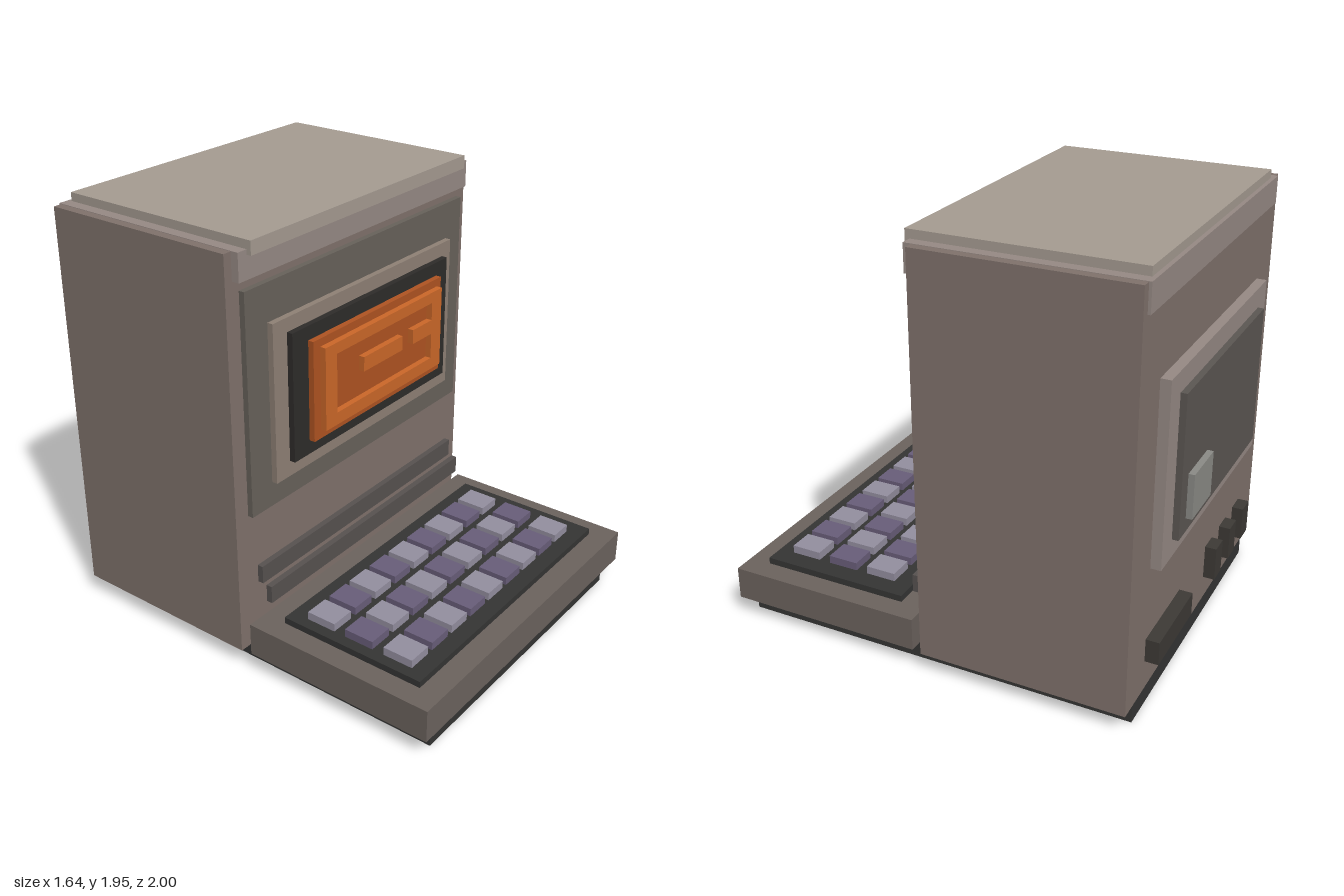
import * as THREE from 'three';

const COLORS = {
  body: 0x80726c, cap: 0x978a85, lid: 0xa69c92, base: 0x353534, tray: 0x6c635e,
  panel: 0x68625b, bezel: 0x8f8176, black: 0x2e2c2a, rust: 0xb05422, orange: 0xcc6829,
  slot: 0x575250, hatch: 0x5c5753, label: 0x8b8b87, port: 0x3d3a36,
  keyLight: 0x948fa0, keyDark: 0x695e7a,
};

const materials = {};
function material(color) {
  return (materials[color] ??= new THREE.MeshStandardMaterial({ color: COLORS[color] }));
}

// Box given by its [min, max] range on each axis
function addBox(parent, name, color, [x0, x1], [y0, y1], [z0, z1]) {
  const mesh = new THREE.Mesh(new THREE.BoxGeometry(x1 - x0, y1 - y0, z1 - z0), material(color));
  mesh.position.set((x0 + x1) / 2, (y0 + y1) / 2, (z0 + z1) / 2);
  mesh.name = name;
  parent.add(mesh);
  return mesh;
}

function addGroup(parent, name) {
  const group = new THREE.Group();
  group.name = name;
  parent.add(group);
  return group;
}

const sym = (half) => [-half, half];

// Raised screen picture: a frame with a notched bar on its right side and a loose bar
function addScreenPicture(parent) {
  const frame = new THREE.Shape([
    [-0.42, 1.054], [0.42, 1.054], [0.42, 1.43], [-0.42, 1.43],
  ].map(([x, y]) => new THREE.Vector2(x, y)));
  frame.holes.push(new THREE.Path([
    [-0.345, 1.11], [-0.345, 1.38], [0.345, 1.38], [0.345, 1.297],
    [0.2, 1.297], [0.2, 1.23], [0.345, 1.23], [0.345, 1.11],
  ].map(([x, y]) => new THREE.Vector2(x, y))));
  const geometry = new THREE.ExtrudeGeometry(frame, { depth: 0.028, bevelEnabled: false });
  const mesh = new THREE.Mesh(geometry, material('orange'));
  mesh.position.z = 0.172;
  mesh.name = 'screenFrame';
  parent.add(mesh);
  addBox(parent, 'screenBar', 'orange', [-0.16, 0.12], [1.23, 1.297], [0.172, 0.2]);
}

export function createModel() {
  const model = new THREE.Group();
  model.name = 'retroComputer';

  // Cabinet
  const cabinet = addGroup(model, 'cabinet');
  addBox(cabinet, 'base', 'base', sym(0.73), [0, 0.09], [-0.895, 0.965]);
  addBox(cabinet, 'body', 'body', sym(0.82), [0.093, 1.91], [-0.9, 0.04]);
  addBox(cabinet, 'topCap', 'cap', sym(0.78), [1.79, 1.912], [-0.912, 0.075]);
  addBox(cabinet, 'lid', 'lid', sym(0.73), [1.89, 1.95], [-0.893, 0.096]);

  // Stepped screen layers, back to front
  const screen = addGroup(model, 'screen');
  addBox(screen, 'screenPanel', 'panel', sym(0.75), [0.745, 1.745], [0.045, 0.071]);
  addBox(screen, 'screenBezel', 'bezel', sym(0.627), [0.862, 1.58], [0.075, 0.102]);
  addBox(screen, 'screenSurround', 'black', sym(0.55), [0.94, 1.522], [0.109, 0.136]);
  addBox(screen, 'screenGlass', 'rust', sym(0.458), [1.008, 1.463], [0.141, 0.168]);
  addScreenPicture(screen);

  // Strips below the screen
  const strips = addGroup(model, 'frontStrips');
  addBox(strips, 'upperStrip', 'slot', sym(0.715), [0.405, 0.488], [0.056, 0.083]);
  addBox(strips, 'lowerStrip', 'slot', sym(0.715), [0.323, 0.405], [0.102, 0.13]);

  // Keyboard with a checkerboard of keys
  const keyboard = addGroup(model, 'keyboard');
  addBox(keyboard, 'keyboardTray', 'tray', sym(0.81), [0.093, 0.245], [0.085, 1]);
  addBox(keyboard, 'keyBed', 'base', sym(0.71), [0.245, 0.275], [0.195, 0.895]);
  for (let row = 0; row < 3; row++) {
    for (let col = 0; col < 9; col++) {
      const x = -0.601 + col * 0.1457;
      const z = 0.353 + row * 0.198;
      addBox(keyboard, 'key', (row + col) % 2 ? 'keyDark' : 'keyLight',
        [x - 0.058, x + 0.058], [0.275, 0.312], [z - 0.071, z + 0.071]);
    }
  }

  // Rear hatch, label and ports
  const rear = addGroup(model, 'rear');
  addBox(rear, 'rearFrame', 'cap', sym(0.612), [0.67, 1.485], [-0.945, -0.9]);
  addBox(rear, 'rearHatch', 'hatch', sym(0.503), [0.755, 1.392], [-0.973, -0.943]);
  addBox(rear, 'rearLabel', 'label', [0.2, 0.43], [0.82, 1.02], [-1, -0.97]);
  addBox(rear, 'widePort', 'port', [0.22, 0.622], [0.233, 0.34], [-0.96, -0.9]);
  for (const x of [-0.165, -0.365, -0.565]) {
    addBox(rear, 'smallPort', 'port', [x - 0.046, x + 0.046], [0.208, 0.367], [-0.953, -0.9]);
  }

  return model;
}
